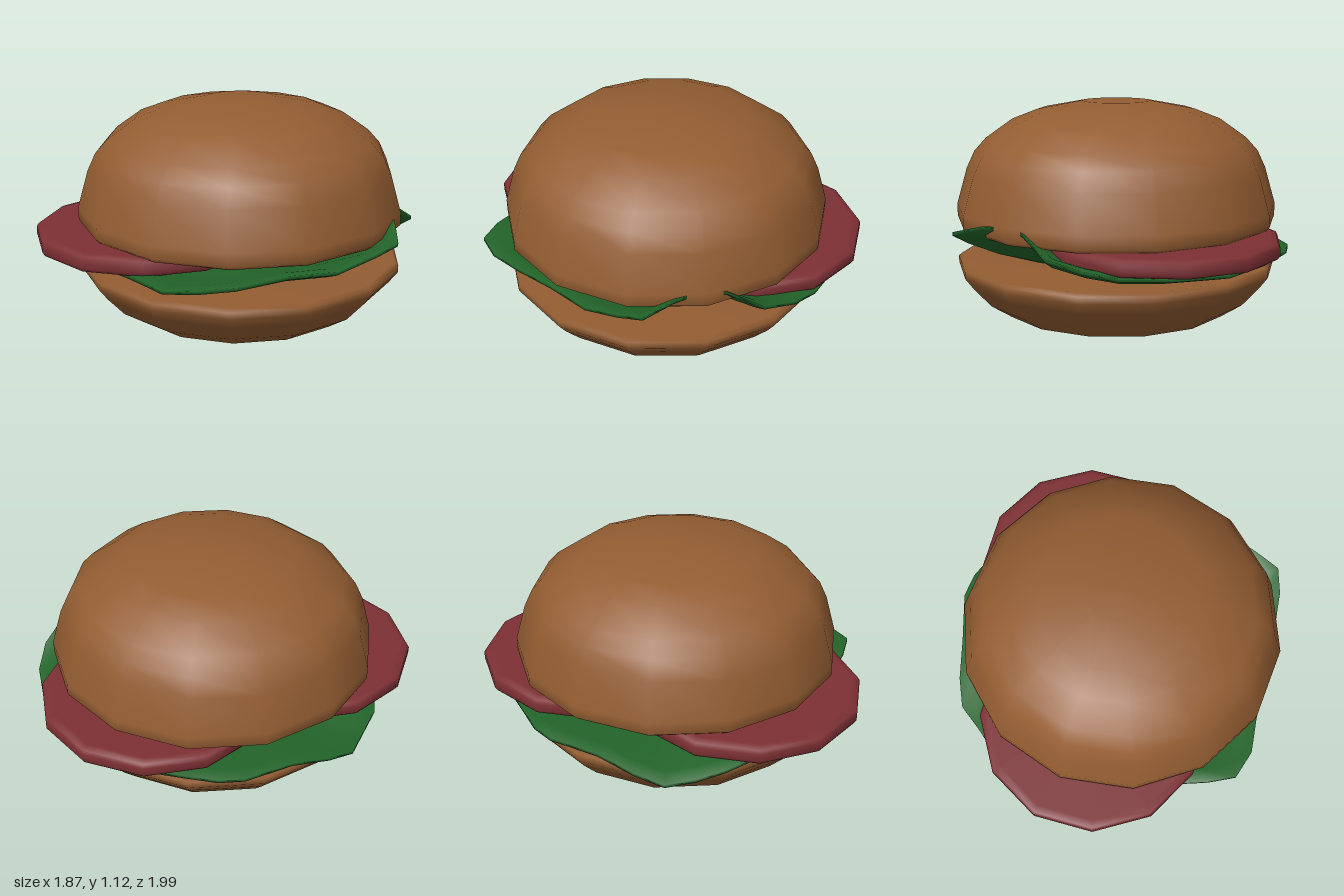
import * as THREE from 'three';
import { mergeVertices } from 'three/addons/utils/BufferGeometryUtils.js';

const material = (name, color) => {
  const m = new THREE.MeshStandardMaterial({ color });
  m.name = name;
  return m;
};

// Low-sided smooth solid of revolution from [radius, height] pairs
function turned(name, profile, sides, mat, x, z) {
  const points = profile.map(([r, y]) => new THREE.Vector2(r, y));
  const mesh = new THREE.Mesh(new THREE.LatheGeometry(points, sides), mat);
  mesh.name = name;
  mesh.position.set(x, 0, z);
  return mesh;
}

// Wavy leaf: a closed thin dish whose rim follows [x, z, y] points
function leaf(rim, mat) {
  const base = 0.335, n = rim.length;
  // [fraction of rim, offset from the middle of the sheet], underside then top
  const rings = [[0, -0.022], [0.5, -0.022], [0.75, -0.022], [0.92, -0.02], [1, -0.008],
    [1, 0.01], [0.92, 0.022], [0.75, 0.022], [0.5, 0.022], [0, 0.022]];
  const geo = new THREE.LatheGeometry(rings.map(([s, y]) => new THREE.Vector2(s, y)), n);
  const pos = geo.attributes.position;
  for (let i = 0; i <= n; i++) {
    const [x, z, y] = rim[i % n];
    rings.forEach(([s, offset], j) => {
      const rise = Math.pow(Math.max(0, (s - 0.5) / 0.5), 1.25);
      pos.setXYZ(i * rings.length + j, x * s, base + (y - base) * rise + offset, z * s);
    });
  }
  geo.deleteAttribute('normal');
  geo.deleteAttribute('uv');
  const merged = mergeVertices(geo);
  merged.computeVertexNormals();
  const mesh = new THREE.Mesh(merged, mat);
  mesh.name = 'lettuce';
  return mesh;
}

export function createModel() {
  const group = new THREE.Group();
  group.name = 'burger';
  const bread = material('bread brown', 0x935d32);
  const red = material('tomato red', 0x7d3034);
  const green = material('lettuce green', 0x23652a);

  // Buns
  group.add(turned('bottomBun', [[0, 0], [0.47, 0.003], [0.6, 0.028], [0.71, 0.1], [0.8, 0.2],
    [0.845, 0.26], [0.845, 0.295], [0.825, 0.31], [0, 0.312]], 14, bread, 0.005, 0.03));
  group.add(turned('topBun', [[0, 0.49], [0.82, 0.495], [0.845, 0.515], [0.845, 0.58], [0.79, 0.77],
    [0.748, 0.86], [0.685, 0.93], [0.545, 1.03], [0.415, 1.08], [0.18, 1.125], [0, 1.125]],
  14, bread, 0.005, 0.03));

  // Tomato slices
  const slice = [[0, 0.402], [0.55, 0.402], [0.585, 0.412], [0.596, 0.43], [0.596, 0.468],
    [0.585, 0.486], [0.55, 0.496], [0, 0.496]];
  group.add(turned('frontTomatoSlice', slice, 12, red, -0.345, 0.35));
  group.add(turned('backTomatoSlice', slice, 12, red, 0.06, -0.404));

  // Lettuce, lifted on its left side and drooping on its right
  group.add(leaf([
    [0.14, 0.99, 0.42], [0.28, 0.92, 0.42], [0.4, 0.78, 0.41], [0.58, 0.6, 0.44],
    [0.74, 0.42, 0.43], [0.87, 0.26, 0.49], [0.93, 0.14, 0.52], [0.86, 0, 0.56],
    [0.8, -0.12, 0.57], [0.79, -0.25, 0.56], [0.79, -0.43, 0.47], [0.7, -0.59, 0.43],
    [0.58, -0.7, 0.4], [0.38, -0.82, 0.39], [0.1, -0.92, 0.385], [-0.2, -0.85, 0.38],
    [-0.4, -0.76, 0.37], [-0.52, -0.71, 0.37], [-0.62, -0.63, 0.37], [-0.75, -0.4, 0.36],
    [-0.86, -0.23, 0.32], [-0.92, -0.09, 0.29], [-0.9, 0.06, 0.3], [-0.89, 0.2, 0.34],
    [-0.78, 0.42, 0.36], [-0.6, 0.62, 0.37], [-0.4, 0.75, 0.37], [-0.15, 0.86, 0.4],
    [0, 0.94, 0.42],
  ], green));
  return group;
}
